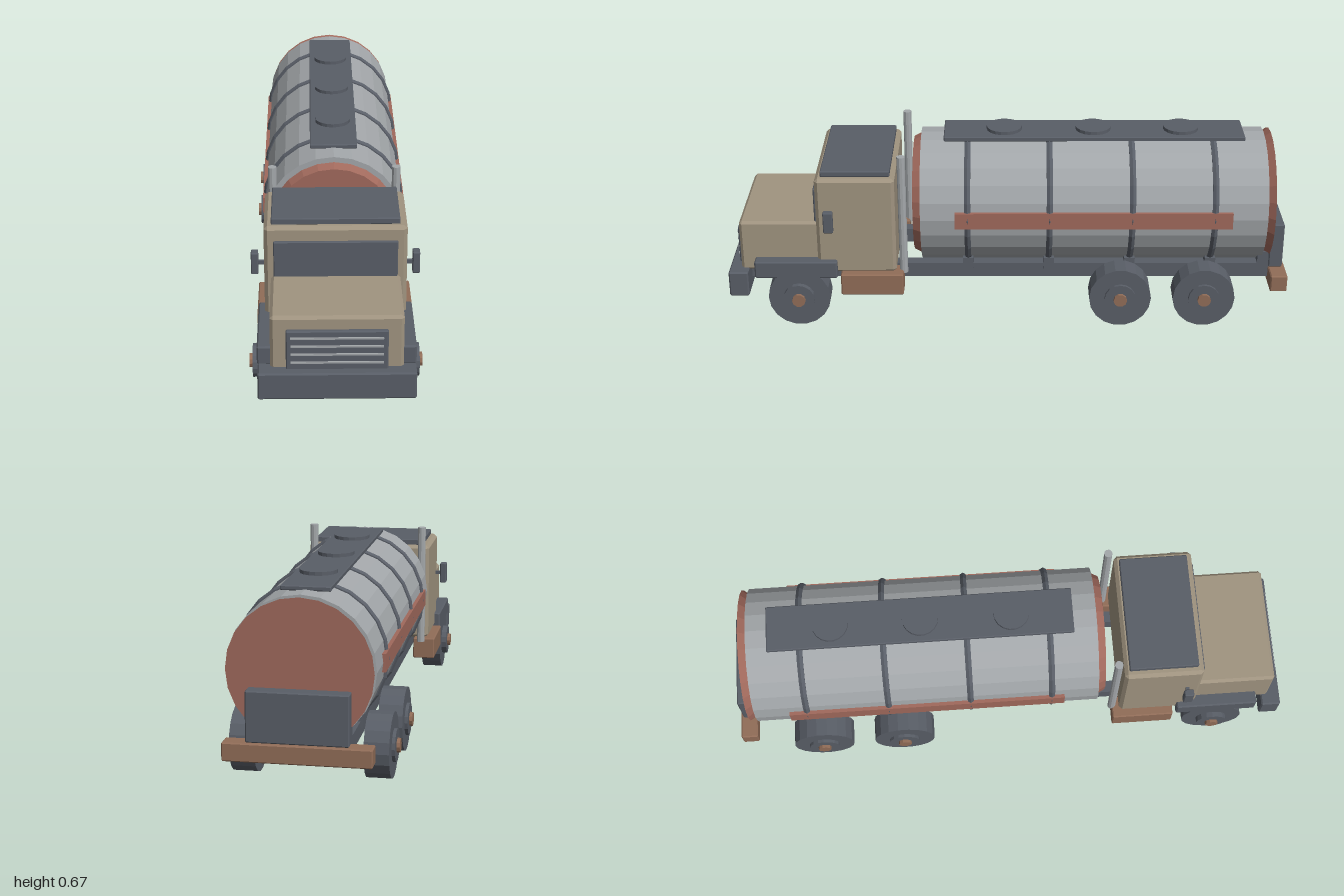
import * as THREE from 'three';
import { ConvexGeometry } from 'three/addons/geometries/ConvexGeometry.js';

const mat = (name, color) => {
  const m = new THREE.MeshStandardMaterial({ color, flatShading: true });
  m.name = name;
  return m;
};

export function createModel() {
  const steel = mat('steel grey', 0xa3a7aa);
  const dark = mat('dark slate', 0x595e67);
  const tan = mat('cab tan', 0xa09480);
  const red = mat('rust red', 0xa0695c);
  const brown = mat('hub brown', 0x916d58);

  const truck = new THREE.Group();
  truck.name = 'tankerTruck';

  const add = (name, geo, material, x = 0, y = 0, z = 0) => {
    const mesh = new THREE.Mesh(geo, material);
    mesh.name = name;
    mesh.position.set(x, y, z);
    truck.add(mesh);
    return mesh;
  };

  // Box given by its limits, with optional chamfer on every edge
  const box = (name, material, x0, x1, y0, y1, z0, z1, b = 0) => {
    const [w, h, d] = [x1 - x0, y1 - y0, z1 - z0];
    let geo;
    if (b > 0) {
      const pts = [];
      for (const i of [-1, 1]) for (const j of [-1, 1]) for (const k of [-1, 1]) {
        const [X, Y, Z] = [i * w / 2, j * h / 2, k * d / 2];
        const [x, y, z] = [X - i * b, Y - j * b, Z - k * b];
        pts.push(new THREE.Vector3(X, y, z), new THREE.Vector3(x, Y, z), new THREE.Vector3(x, y, Z));
      }
      geo = new ConvexGeometry(pts);
    } else geo = new THREE.BoxGeometry(w, h, d);
    return add(name, geo, material, (x0 + x1) / 2, (y0 + y1) / 2, (z0 + z1) / 2);
  };

  // The same box on both sides of the truck
  const pair = (name, material, x0, x1, ...rest) => {
    box(name + 'Left', material, x0, x1, ...rest);
    box(name + 'Right', material, -x1, -x0, ...rest);
  };

  // Cylinder along z between two stations
  const barrel = (name, material, rFront, rBack, z0, z1) => {
    const geo = new THREE.CylinderGeometry(rFront, rBack, z1 - z0, 24).rotateX(Math.PI / 2);
    return add(name, geo, material, 0, 0.41, (z0 + z1) / 2);
  };

  // Chassis
  pair('chassisRail', dark, 0.117, 0.16, 0.147, 0.2, -0.95, 0.94);
  box('frontBumper', dark, -0.252, 0.252, 0.115, 0.21, 0.93, 1, 0.005);
  box('rearBumper', brown, -0.24, 0.24, 0.125, 0.187, -1, -0.94, 0.004);
  box('rearCabinet', dark, -0.165, 0.165, 0.187, 0.355, -0.99, -0.94, 0.004);
  pair('rearBracket', dark, 0.11, 0.16, 0.195, 0.245, -0.94, -0.9);

  // Cab and hood
  box('cab', tan, -0.234, 0.234, 0.2, 0.566, 0.4, 0.68, 0.012);
  box('roofPlate', dark, -0.21, 0.21, 0.564, 0.587, 0.417, 0.66, 0.003);
  box('hood', tan, -0.212, 0.212, 0.2, 0.391, 0.67, 0.957, 0.01);
  box('windshield', dark, -0.203, 0.203, 0.375, 0.516, 0.675, 0.689, 0.003);
  box('grille', dark, -0.162, 0.162, 0.2, 0.346, 0.95, 0.97, 0.004);
  for (let i = 0; i < 4; i++) {
    const y = 0.235 + i * 0.029;
    box('grilleBar', steel, -0.147, 0.147, y - 0.003, y + 0.003, 0.965, 0.975);
  }
  pair('mirror', dark, 0.254, 0.278, 0.378, 0.456, 0.616, 0.65, 0.003);
  pair('mirrorArm', dark, 0.23, 0.256, 0.41, 0.422, 0.627, 0.639);
  pair('fender', dark, 0.18, 0.256, 0.188, 0.253, 0.61, 0.905, 0.005);
  pair('sideStep', brown, 0.18, 0.262, 0.125, 0.205, 0.375, 0.598, 0.004);
  for (const s of [-1, 1]) {
    add('exhaustStack', new THREE.CylinderGeometry(0.015, 0.015, 0.45, 10), steel, s * 0.21, 0.418, 0.375);
  }

  // Tank with end caps
  barrel('tank', steel, 0.24, 0.24, -0.915, 0.312);
  barrel('frontCap', red, 0.207, 0.222, 0.31, 0.34);
  barrel('rearCap', red, 0.215, 0.237, -0.942, -0.914);
  pair('sideStripe', red, 0.232, 0.249, 0.38, 0.44, -0.79, 0.19);

  // Tank bands and their saddles
  for (const z of [0.145, -0.145, -0.437, -0.728]) {
    add('tankBand', new THREE.TorusGeometry(0.238, 0.0125, 6, 24), dark, 0, 0.41, z);
    pair('saddle', dark, 0.11, 0.168, 0.18, 0.225, z - 0.019, z + 0.019);
  }

  // Walkway and hatches
  box('walkway', dark, -0.082, 0.082, 0.645, 0.661, -0.84, 0.23, 0.003);
  for (const z of [0.015, -0.303, -0.617]) {
    add('hatch', new THREE.CylinderGeometry(0.063, 0.063, 0.016, 18), dark, 0, 0.665, z);
  }

  // Wheels: tyre, rim disc and hub cap, each given by outer and inner x
  const disc = (name, material, r, x0, x1, s, z, sides) => {
    const geo = new THREE.CylinderGeometry(r, r, x1 - x0, sides).rotateZ(Math.PI / 2);
    add(name, geo, material, s * (x0 + x1) / 2, 0.112, z);
  };
  for (const z of [0.75, -0.4, -0.7]) for (const s of [-1, 1]) {
    disc('tyre', dark, 0.111, 0.18, z > 0 ? 0.2545 : 0.263, s, z, 18);
    disc('rim', dark, 0.056, 0.2, 0.274, s, z, 16);
    disc('hubCap', brown, 0.024, 0.25, 0.285, s, z, 10);
  }

  return truck;
}
